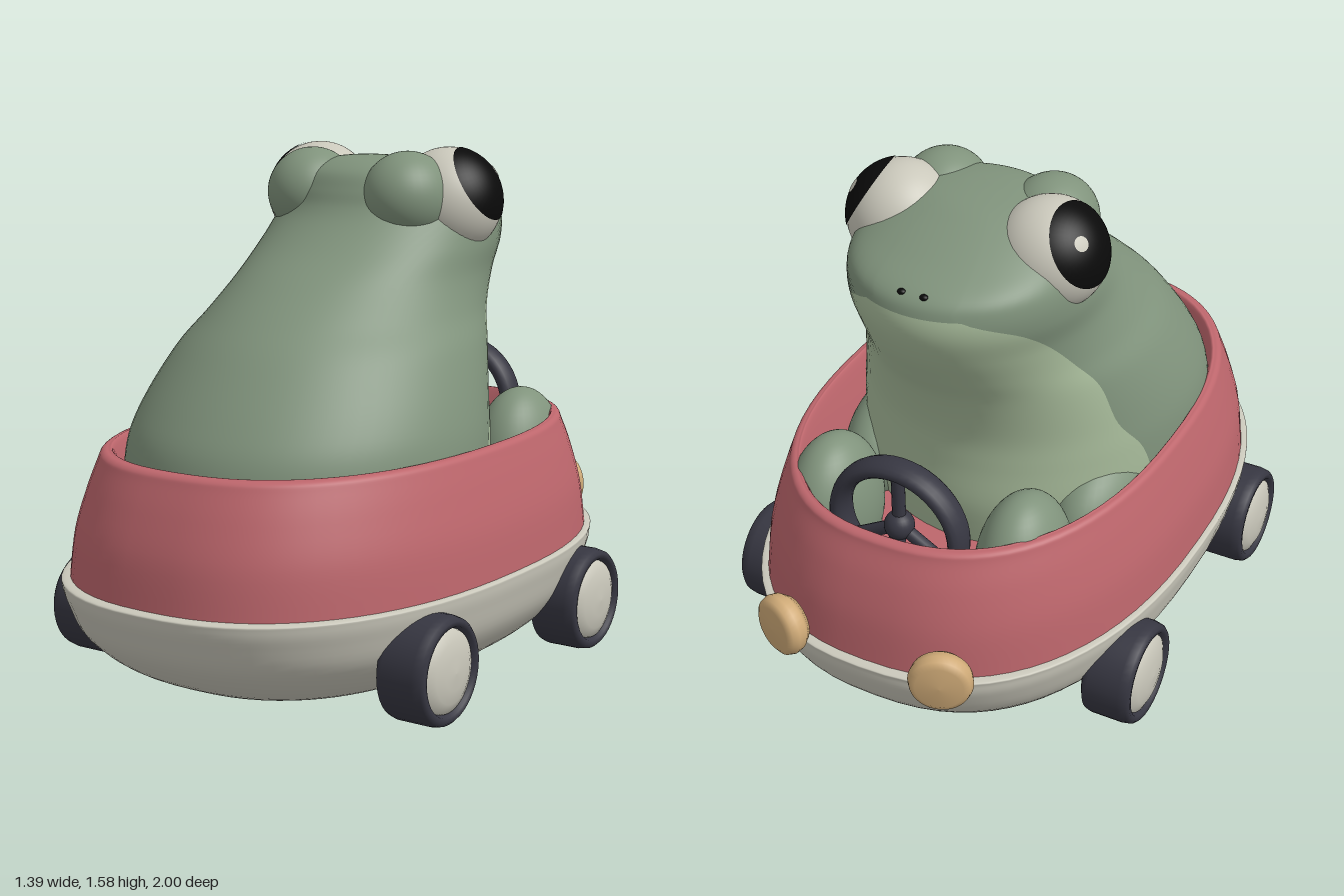
import * as THREE from 'three';

const mat = (name, color) => Object.assign(new THREE.MeshStandardMaterial({ color }), { name });

// Catmull-Rom resampling of ring rows
function resample(rows, steps) {
  const out = [];
  for (let i = 0; i < rows.length - 1; i++) {
    const a = rows[Math.max(i - 1, 0)], b = rows[i], c = rows[i + 1], d = rows[Math.min(i + 2, rows.length - 1)];
    for (let s = 0; s < steps; s++) {
      const t = s / steps;
      out.push(b.map((v, k) => v + 0.5 * t * (c[k] - a[k] + t * (2 * a[k] - 5 * v + 4 * c[k] - d[k]
        + t * (3 * (v - c[k]) + d[k] - a[k])))));
    }
  }
  out.push(rows[rows.length - 1]);
  return out;
}

// Skin over horizontal rings [y, halfWidth, zFront, zBack, zBelly?]; n is the superellipse power.
// With zBelly given, the first columns cover the belly and form material group 1 below mouthY.
function loft(rows, n, steps, mouthY) {
  const rings = resample(rows, steps), belly = 24, cols = 72;
  const pos = [], skin = [], front = [];
  const pow = v => Math.sign(v) * Math.pow(Math.abs(v), 2 / n);
  rings.forEach(([y, w, zf, zb, zs]) => {
    const zc = (zf + zb) / 2, rz = (zb - zf) / 2;
    const half = mouthY ? Math.acos(THREE.MathUtils.clamp((zc - zs) / Math.max(rz, 1e-4), -0.95, 0.95)) : 0;
    for (let j = 0; j < cols; j++) {
      let a = j / cols * Math.PI * 2;
      if (mouthY) {
        a = j < belly ? -half + 2 * half * j / belly
          : half + (2 * Math.PI - 2 * half) * (j - belly) / (cols - belly);
      }
      pos.push(Math.max(w, 0) * pow(Math.sin(a)), y, zc - rz * pow(Math.cos(a)));
    }
  });
  for (let i = 0; i < rings.length - 1; i++) {
    for (let j = 0; j < cols; j++) {
      const k = (j + 1) % cols, p = i * cols;
      const isBelly = mouthY && j < belly && rings[i + 1][0] <= mouthY + 1e-4;
      (isBelly ? front : skin).push(p + j, p + cols + j, p + k, p + k, p + cols + j, p + cols + k);
    }
  }
  const g = new THREE.BufferGeometry();
  g.setAttribute('position', new THREE.Float32BufferAttribute(pos, 3));
  g.setIndex([...skin, ...front]);
  g.addGroup(0, skin.length, 0);
  if (front.length) g.addGroup(skin.length, front.length, 1);
  g.computeVertexNormals();
  return g;
}

const lathe = pts => new THREE.LatheGeometry(pts.map(p => new THREE.Vector2(...p)), 40);

export function createModel() {
  const model = new THREE.Group();
  model.name = 'frogInCar';
  const green = mat('frogGreen', 0x80937c), pale = mat('bellyGreen', 0xa9bd9c), red = mat('carRed', 0xbd666c);
  const cream = mat('cream', 0xcac8bb), dark = mat('rubber', 0x373742), black = mat('pupilBlack', 0x0a0a0a);
  const tan = mat('lampTan', 0xd0ab78);
  const add = (name, geo, material, x = 0, y = 0, z = 0, parent = model) => {
    const m = new THREE.Mesh(geo, material);
    m.name = name;
    m.position.set(x, y, z);
    parent.add(m);
    return m;
  };
  const ball = (name, material, p, r) => {
    const m = add(name, new THREE.SphereGeometry(1, 40, 28), material, ...p);
    m.scale.set(...r);
    return m;
  };
  const up = new THREE.Vector3(0, 1, 0);
  const aim = (m, x, y, z) => m.quaternion.setFromUnitVectors(up, new THREE.Vector3(x, y, z).normalize());

  // Car: rounded hull, then a red shell that folds over the lip into the cockpit
  add('hull', loft([
    [0.005, 0, 0.02, 0.02], [0.008, 0.18, -0.3, 0.32], [0.04, 0.39, -0.6, 0.62], [0.1, 0.52, -0.77, 0.8],
    [0.2, 0.61, -0.89, 0.93], [0.3, 0.645, -0.945, 0.985], [0.35, 0.655, -0.955, 1],
    [0.365, 0.65, -0.953, 0.995], [0.367, 0.6, -0.9, 0.94],
  ], 2.4, 5), cream);
  add('carBody', loft([
    [0.36, 0.64, -0.93, 0.97], [0.5, 0.625, -0.91, 0.95], [0.62, 0.595, -0.875, 0.91], [0.7, 0.57, -0.84, 0.875],
    [0.725, 0.56, -0.83, 0.862], [0.732, 0.545, -0.81, 0.84], [0.72, 0.53, -0.795, 0.82],
    [0.6, 0.5, -0.75, 0.79], [0.46, 0.47, -0.69, 0.76], [0.44, 0.43, -0.64, 0.7], [0.44, 0, 0, 0.02],
  ], 2.4, 5), red);

  // Wheels and hubcaps
  const tyre = lathe([[0, -0.08], [0.14, -0.08], [0.155, -0.072], [0.16, -0.055], [0.16, 0.045],
    [0.155, 0.07], [0.145, 0.08], [0.13, 0.078], [0.122, 0.06]]);
  const cap = lathe([[0.126, 0.055], [0.12, 0.07], [0.09, 0.084], [0.05, 0.092], [0, 0.095]]);
  // Headlamps
  const lamp = lathe([[0, -0.05], [0.07, -0.05], [0.09, -0.025], [0.095, 0], [0.088, 0.02], [0.07, 0.032], [0, 0.036]]);

  // Frog body and head, with a pale belly up to the mouth line
  add('frogBody', loft([
    [0.42, 0.5, -0.38, 0.74, 0.02], [0.58, 0.53, -0.41, 0.78, -0.02], [0.73, 0.53, -0.41, 0.765, -0.07],
    [0.85, 0.505, -0.42, 0.7, -0.15], [1, 0.45, -0.47, 0.58, -0.2], [1.1, 0.395, -0.53, 0.475, -0.27],
    [1.2, 0.362, -0.59, 0.345, -0.36], [1.29, 0.358, -0.623, 0.21, -0.47], [1.36, 0.35, -0.62, 0.12, -0.585],
    [1.41, 0.335, -0.59, 0.075, -0.56], [1.46, 0.31, -0.49, 0.05, -0.465], [1.51, 0.25, -0.38, 0.02, -0.36],
    [1.54, 0.17, -0.3, -0.03, -0.285], [1.553, 0.08, -0.22, -0.09, -0.21], [1.556, 0, -0.15, -0.15, -0.15],
  ], 2, 6, 1.36), [green, pale]);

  for (const s of [-1, 1]) {
    const side = s > 0 ? 'left' : 'right';
    for (const [end, z] of [['Front', -0.415], ['Rear', 0.455]]) {
      const wheel = new THREE.Group();
      wheel.name = side + end + 'Wheel';
      wheel.position.set(s * 0.6, 0.177, z);
      wheel.rotation.z = -s * Math.PI / 2;
      add('tyre', tyre, dark, 0, 0, 0, wheel);
      add('hubcap', cap, cream, 0, 0, 0, wheel);
      model.add(wheel);
    }
    aim(add(side + 'Headlamp', lamp, tan, s * 0.265, 0.405, -0.945), s * 0.37, 0, -0.93);

    // Legs
    ball(side + 'Knee', green, [s * 0.32, 0.56, -0.54], [0.135, 0.24, 0.185]);
    ball(side + 'Thigh', green, [s * 0.36, 0.52, -0.06], [0.145, 0.2, 0.28]);

    // Eyes: brow bump, eyeball, pupil and glint caps
    ball(side + 'Brow', green, [s * 0.175, 1.44, -0.085], [0.135, 0.137, 0.15]);
    const c = [s * 0.24, 1.42, -0.22];
    ball(side + 'Eyeball', cream, c, [0.165, 0.165, 0.165]);
    const disc = (r, arc) => new THREE.SphereGeometry(r, 40, 10, 0, Math.PI * 2, 0, arc);
    aim(add(side + 'Pupil', disc(0.168, 0.84), black, ...c), s * 0.85, 0.5, -0.12);
    aim(add(side + 'Glint', disc(0.17, 0.13), cream, ...c), s * 0.12, 0.09, -0.065);
    ball(side + 'Nostril', black, [s * 0.035, 1.41, -0.584], [0.013, 0.009, 0.011]);
  }

  // Steering wheel with hub, three spokes and column
  const steering = new THREE.Group();
  steering.name = 'steeringWheel';
  steering.position.set(0, 0.7, -0.7);
  const rim = add('rim', new THREE.TorusGeometry(0.195, 0.028, 16, 48), dark, 0, 0, 0, steering);
  rim.scale.z = 1.65;
  add('hub', new THREE.SphereGeometry(0.045, 24, 16), dark, 0, 0, 0, steering);
  for (let i = 0; i < 3; i++) {
    const a = Math.PI / 2 + i * Math.PI * 2 / 3, x = Math.cos(a), y = Math.sin(a);
    aim(add('spoke', new THREE.CylinderGeometry(0.02, 0.02, 0.19, 12), dark, x * 0.1, y * 0.1, 0, steering), x, y, 0);
  }
  aim(add('column', new THREE.CylinderGeometry(0.025, 0.025, 0.26, 16), dark, 0, -0.12, -0.04, steering), 0, 0.95, 0.31);
  model.add(steering);
  return model;
}
